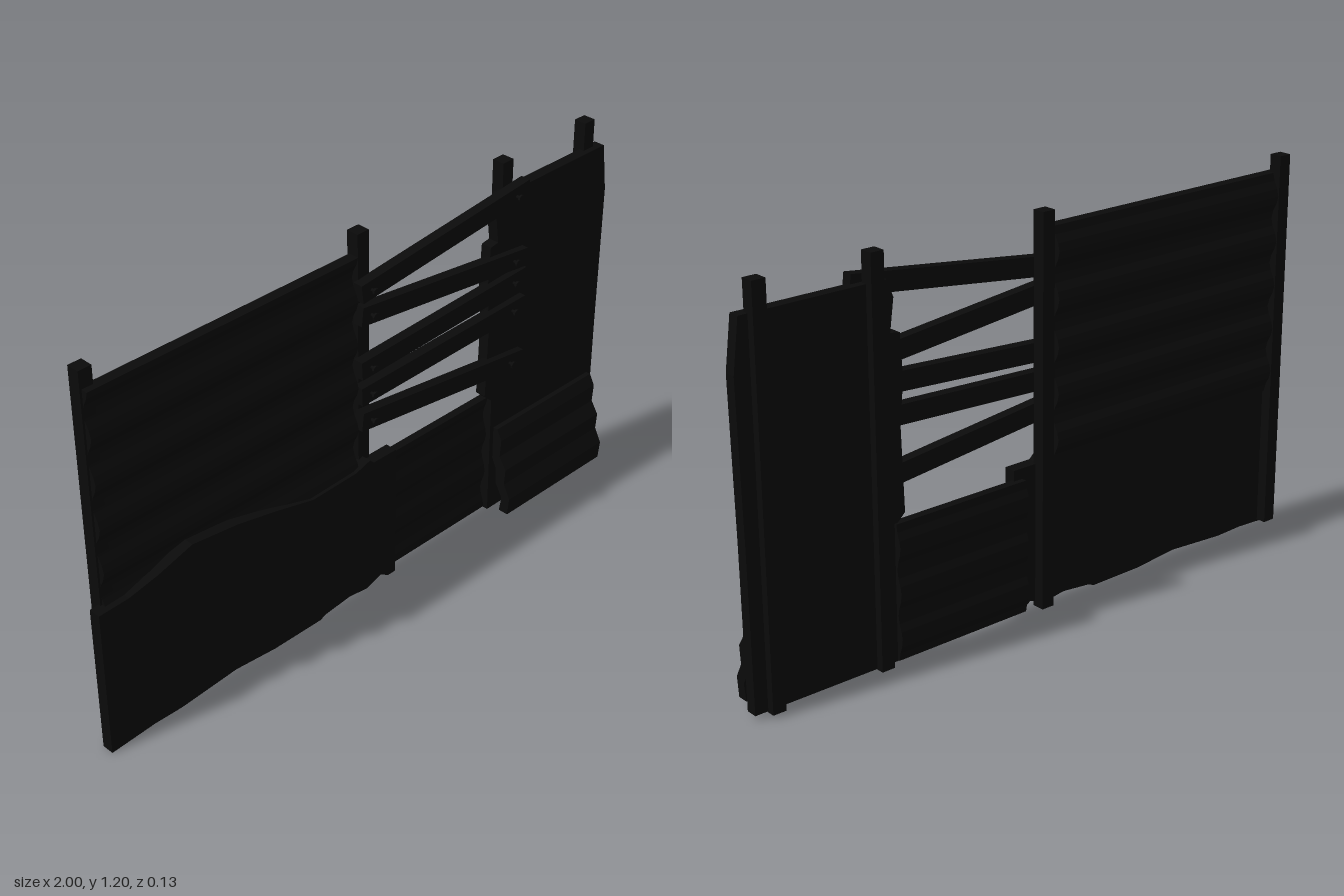
import * as THREE from 'three';

const dark = new THREE.MeshStandardMaterial({ color: 0x0b0b0b, flatShading: true });

function add(parent, name, geometry, x = 0, y = 0, z = 0) {
  const mesh = new THREE.Mesh(geometry, dark);
  mesh.name = name;
  mesh.position.set(x, y, z);
  parent.add(mesh);
  return mesh;
}

const shapeOf = (points) => new THREE.Shape(points.map(([x, y]) => new THREE.Vector2(x, y)));

// Flat plate: outline in x, y pulled from zBack to zFront
function plate(parent, name, points, zBack, zFront) {
  const geo = new THREE.ExtrudeGeometry(shapeOf(points), { depth: zFront - zBack, bevelEnabled: false });
  return add(parent, name, geo, 0, 0, zBack);
}

// Sheet: side profile given as [z, y], pulled from x0 to x1
function sheet(parent, name, profile, x0, x1) {
  const geo = new THREE.ExtrudeGeometry(shapeOf(profile.map(([z, y]) => [-z, y])), { depth: x1 - x0, bevelEnabled: false });
  geo.rotateY(Math.PI / 2);
  return add(parent, name, geo, x0);
}

// Wavy side profile of even thickness
function waveProfile(y0, y1, waves, zMid, amp, thick) {
  const steps = waves * 6, front = [], back = [];
  for (let i = 0; i <= steps; i++) {
    const y = y0 + (y1 - y0) * i / steps;
    const z = zMid + amp * Math.cos((i / 6) * Math.PI * 2);
    front.push([z + thick / 2, y]);
    back.unshift([z - thick / 2, y]);
  }
  return front.concat(back);
}

export function createModel() {
  const fence = new THREE.Group();
  fence.name = 'scrapFence';

  // Upright posts
  for (const x of [-0.95, -0.01, 0.57, 0.928])
    add(fence, 'post', new THREE.BoxGeometry(0.042, 1.19, 0.04), x, 0.605, -0.046);

  // Corrugated sheets
  sheet(fence, 'upperCorrugatedSheet', waveProfile(0.45, 1.145, 5, -0.035, 0.012, 0.034), -0.965, -0.05);
  sheet(fence, 'middleCorrugatedSheet', waveProfile(0.015, 0.425, 3, -0.045, 0.008, 0.026), 0.06, 0.52);

  // Low torn plate on the right-hand side
  plate(fence, 'lowerPlate', [
    [-1, 0], [-0.85, 0.008], [-0.75, 0.005], [-0.55, 0.018], [-0.4, 0.004], [-0.22, 0.003], [-0.2, 0.012],
    [-0.1, 0.022], [-0.03, 0.012], [0.03, 0.032], [0.06, 0.012], [0.09, 0.012],
    [0.09, 0.457], [0.0, 0.457], [-0.015, 0.472], [-0.07, 0.455], [-0.24, 0.45], [-0.38, 0.485],
    [-0.52, 0.515], [-0.68, 0.535], [-0.8, 0.5], [-0.9, 0.48], [-1, 0.477],
  ], -0.034, 0.004);

  // Tall plate with chipped edges
  plate(fence, 'tallPlate', [
    [0.515, 0.012], [0.99, 0.014], [0.992, 0.5], [0.998, 0.96], [0.978, 1.112], [0.525, 1.112],
    [0.505, 1.06], [0.518, 0.965], [0.487, 0.96], [0.48, 0.83], [0.492, 0.7], [0.484, 0.45], [0.515, 0.42],
  ], -0.043, -0.008);

  // Stepped cladding at the foot of the tall plate
  sheet(fence, 'steppedCladding', [
    [0.062, 0.02], [0.068, 0.08], [0.044, 0.125], [0.048, 0.18], [0.022, 0.22], [0.026, 0.28], [0.008, 0.315],
    [-0.012, 0.315], [-0.012, 0.21], [0.008, 0.17], [0.01, 0.115], [0.036, 0.07], [0.028, 0.02],
  ], 0.53, 0.97);

  // Crooked planks: height at the left-hand post and at the tall plate
  const planks = [[1.03, 1.11], [0.96, 0.885], [0.785, 0.822], [0.7, 0.725], [0.615, 0.535]];
  for (const [ya, yb] of planks) {
    const x0 = -0.045, x1 = 0.625, h = 0.029, z0 = -0.012, z1 = -0.002;
    const plank = new THREE.Group();
    plank.name = 'plank';
    plank.position.set((x0 + x1) / 2, (ya + yb) / 2, (z0 + z1) / 2);
    plank.rotation.set(0, -Math.atan((z1 - z0) / (x1 - x0)), Math.atan((yb - ya) / (x1 - x0)));
    add(plank, 'board', new THREE.BoxGeometry(x1 - x0, h * 2, 0.032));
    // Bolts through both ends
    for (const x of [-0.3, 0.28]) {
      const shank = new THREE.CylinderGeometry(0.005, 0.005, 0.016, 8).rotateX(Math.PI / 2);
      const head = new THREE.CylinderGeometry(0.011, 0.011, 0.007, 8).rotateX(Math.PI / 2);
      add(plank, 'boltShank', shank, x, 0, 0.022);
      add(plank, 'boltHead', head, x, 0, 0.032);
    }
    fence.add(plank);
  }
  return fence;
}
